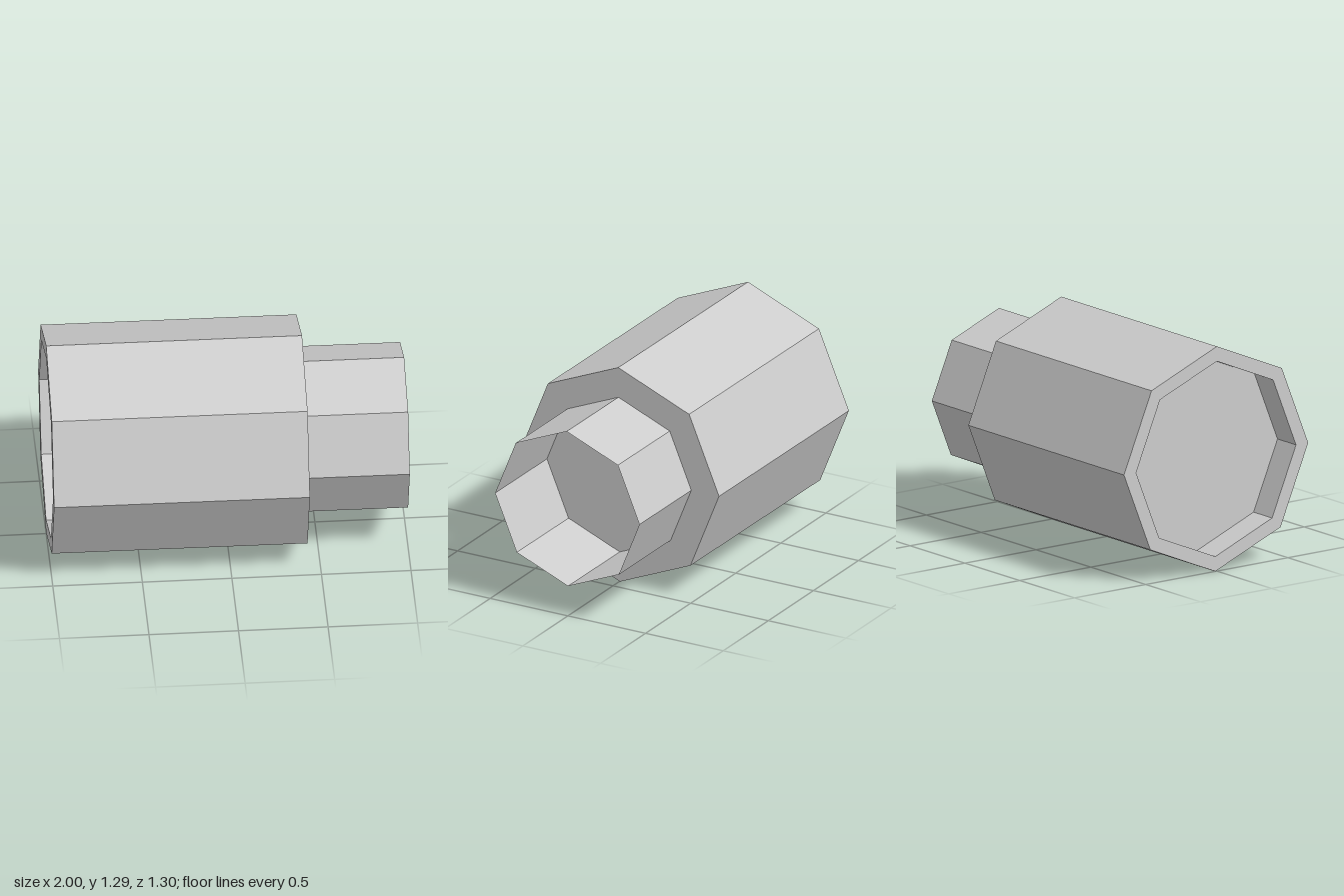
import * as THREE from 'three';

const SIDES = 8;
const AXIS_Y = 0.645; // height of the shared axis

// Turn an upright geometry so its axis lies along +x, with faceted normals.
function layAlongX(geometry) {
  const g = geometry.toNonIndexed();
  g.rotateZ(-Math.PI / 2);
  g.computeVertexNormals();
  return g;
}

export function createModel() {
  const model = new THREE.Group();
  model.name = 'steppedOctagonalSleeve';

  const grey = new THREE.MeshStandardMaterial({ color: 0xcccccc, side: THREE.DoubleSide, flatShading: true });
  grey.name = 'lightGrey';

  // Wide body: recessed floor, rim, outer wall and flat shoulder.
  const profile = [
    [0, -0.83], [0.56, -0.83], [0.56, -1], [0.645, -1], [0.645, 0.428], [0, 0.428],
  ].map(([r, x]) => new THREE.Vector2(r, x));
  const body = new THREE.Mesh(layAlongX(new THREE.LatheGeometry(profile, SIDES)), grey);
  body.name = 'body';

  // Narrow thin-walled collar, open at its outer end.
  const length = 0.57;
  const collarGeometry = new THREE.CylinderGeometry(0.466, 0.466, length, SIDES, 1, true);
  collarGeometry.translate(0, 0.428 + length / 2, 0);
  const collar = new THREE.Mesh(layAlongX(collarGeometry), grey);
  collar.name = 'collar';

  // The piece sits with a very slight roll and yaw.
  const sleeve = new THREE.Group();
  sleeve.name = 'sleeve';
  sleeve.add(body, collar);
  sleeve.rotation.set(0.009, -0.005, 0);
  sleeve.position.y = AXIS_Y;
  model.add(sleeve);
  return model;
}
